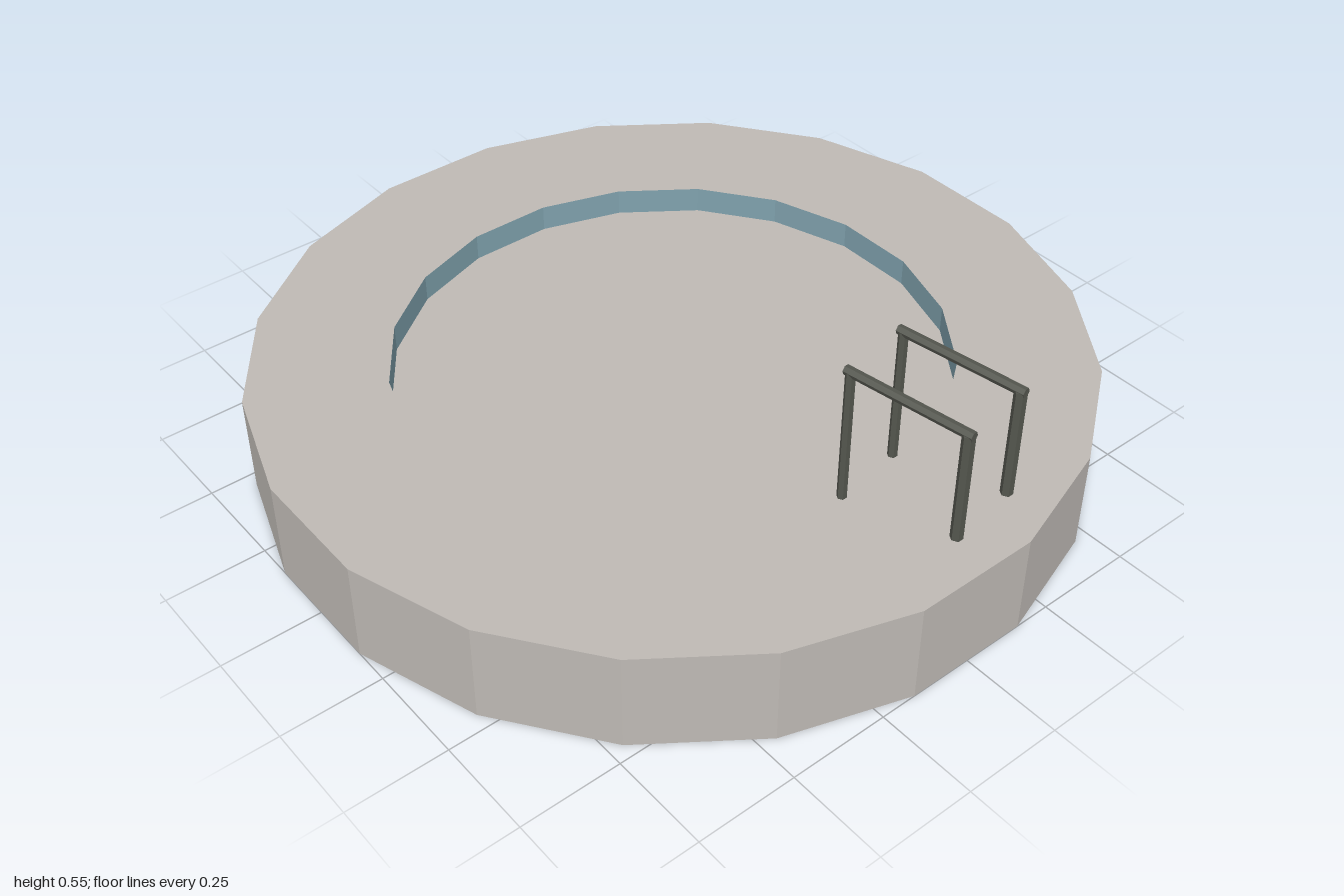
import * as THREE from 'three';

const SIDES = 20;
const OUTER = 1.0125, INNER = 0.675;
const TOP = 0.255, WATER = 0.187, FLOOR = 0.122;

function material(name, color) {
  return new THREE.MeshStandardMaterial({ name, color, flatShading: true, side: THREE.DoubleSide });
}

// Twenty-sided surface of revolution with flat sides facing the axes
function ring(name, profile, mat) {
  const points = profile.map(([r, y]) => new THREE.Vector2(r, y));
  const mesh = new THREE.Mesh(new THREE.LatheGeometry(points, SIDES, Math.PI / SIDES), mat);
  mesh.name = name;
  return mesh;
}

// Six-sided bar between two points
function bar(name, a, b, radius, mat) {
  const dir = b.clone().sub(a);
  const mesh = new THREE.Mesh(new THREE.CylinderGeometry(radius, radius, dir.length(), 6), mat);
  mesh.position.copy(a).add(b).multiplyScalar(0.5);
  mesh.quaternion.setFromUnitVectors(new THREE.Vector3(0, 1, 0), dir.normalize());
  mesh.name = name;
  return mesh;
}

// Handrail: a post in the water, a post on the deck and a bar joining them
function handrail(name, x, z, mat) {
  const rail = new THREE.Group();
  rail.name = name;
  const end = [x + 0.298, z - 0.047], topY = 0.542;
  const v = (px, py, pz) => new THREE.Vector3(px, py, pz);
  rail.add(
    bar('waterPost', v(x, 0.15, z), v(x, topY, z), 0.012, mat),
    bar('deckPost', v(end[0], TOP - 0.01, end[1]), v(end[0], topY, end[1]), 0.015, mat),
    bar('topBar', v(x - 0.013, topY, z + 0.002), v(end[0] + 0.013, topY, end[1] - 0.002), 0.012, mat),
  );
  return rail;
}

export function createModel() {
  const stone = material('stone', 0xbfbab5);
  const tile = material('blueTile', 0x80a2ae);
  const metal = material('darkMetal', 0x55574f);

  const model = new THREE.Group();
  model.name = 'pool';

  // Outer wall and deck, open underneath
  model.add(ring('deck', [[OUTER, 0], [OUTER, TOP], [INNER, TOP]], stone));

  // Basin walls and floor
  model.add(ring('basin', [[0, FLOOR], [INNER, FLOOR], [INNER, TOP]], tile));

  // Water surface
  const water = new THREE.Mesh(new THREE.CircleGeometry(INNER, SIDES, Math.PI / SIDES), stone);
  water.name = 'waterSurface';
  water.rotation.x = -Math.PI / 2;
  water.position.y = WATER;
  model.add(water);

  // Pair of handrails
  model.add(handrail('frontHandrail', 0.593, 0, metal));
  model.add(handrail('backHandrail', 0.564, -0.185, metal));
  return model;
}
